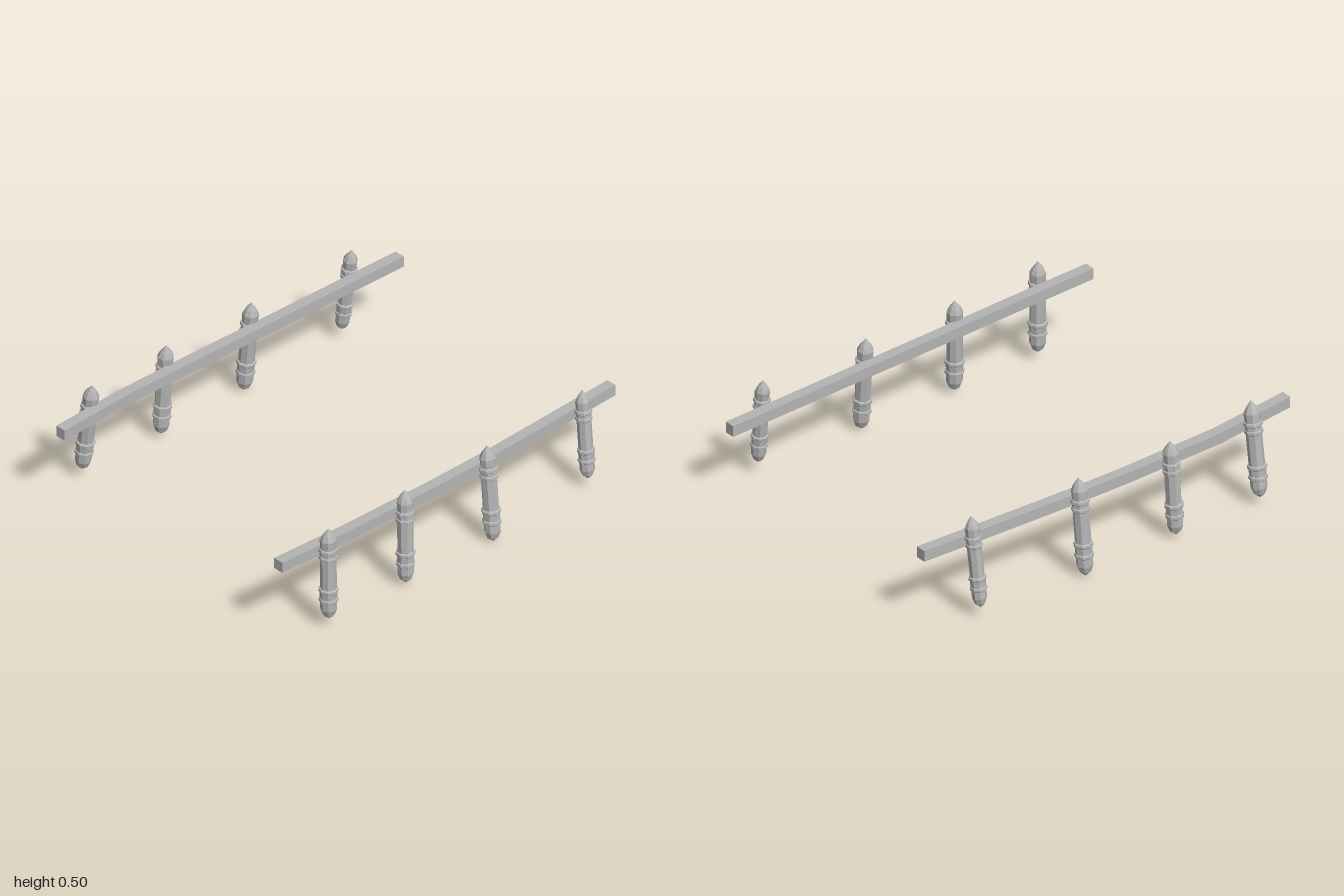
import * as THREE from 'three';

const stone = new THREE.MeshStandardMaterial({ color: 0xb4b4b4, flatShading: true });
stone.name = 'grey stone';

// Post profile: [radius, fraction of the height]
const PROFILE = [
  [0, 0], [0.026, 0.045], [0.037, 0.11], [0.037, 0.19], [0.043, 0.2], [0.043, 0.225], [0.038, 0.235],
  [0.039, 0.3], [0.044, 0.31], [0.044, 0.335], [0.036, 0.345], [0.036, 0.66], [0.042, 0.67],
  [0.042, 0.695], [0.037, 0.705], [0.037, 0.74], [0.043, 0.75], [0.042, 0.775], [0.035, 0.785],
  [0.037, 0.875], [0.026, 0.925], [0, 1],
];

// Leaning, faceted post between its bottom and top points
function makePost(name, bottom, top, girth, turn) {
  const a = new THREE.Vector3(...bottom), b = new THREE.Vector3(...top);
  const axis = b.clone().sub(a), length = axis.length();
  const points = PROFILE.map(([r, t]) => new THREE.Vector2(r * girth, t * length));
  const geometry = new THREE.LatheGeometry(points, 8);
  geometry.rotateY(turn);
  const post = new THREE.Mesh(geometry, stone);
  post.name = name;
  post.position.copy(a);
  post.quaternion.setFromUnitVectors(new THREE.Vector3(0, 1, 0), axis.normalize());
  return post;
}

// Square rail bent through stations [z, centre x, centre y]
function makeRail(name, stations, width = 0.052, height = 0.053) {
  const geometry = new THREE.BoxGeometry(width, height, 1, 1, 1, stations.length - 1);
  const p = geometry.attributes.position;
  for (let i = 0; i < p.count; i++) {
    const k = Math.round((p.getZ(i) + 0.5) * (stations.length - 1));
    const [z, x, y] = stations[k];
    p.setXYZ(i, p.getX(i) + x, p.getY(i) + y, z);
  }
  geometry.computeVertexNormals();
  const rail = new THREE.Mesh(geometry, stone);
  rail.name = name;
  return rail;
}

export function createModel() {
  const model = new THREE.Group();
  model.name = 'fence pair';

  // Each row: bottom y, z; top y, z; girth; bottom and top x for the left and right posts
  const rows = [
    [0.04, 0.768, 0.502, 0.762, 1.0, [0.764, 0.754], [-0.785, -0.727]],
    [0.015, 0.316, 0.48, 0.3, 1.0, [0.768, 0.745], [-0.772, -0.752]],
    [0.0, -0.186, 0.475, -0.192, 1.0, [0.783, 0.738], [-0.783, -0.74]],
    [0.05, -0.757, 0.485, -0.767, 0.9, [0.772, 0.724], [-0.777, -0.722]],
  ];
  rows.forEach(([y0, z0, y1, z1, girth, left, right], i) => {
    model.add(makePost(`leftPost${i + 1}`, [left[0], y0, z0], [left[1], y1, z1], girth, i * 0.3));
    model.add(makePost(`rightPost${i + 1}`, [right[0], y0, z0], [right[1], y1, z1], girth, i * 0.3 + 0.2));
  });

  // Rails run along the inner faces of the posts
  model.add(makeRail('leftRail', [
    [-1, 0.662, 0.354], [-0.6, 0.677, 0.354], [-0.2, 0.692, 0.355],
    [0.1, 0.697, 0.36], [0.6, 0.7, 0.375], [1, 0.694, 0.391],
  ]));
  model.add(makeRail('rightRail', [
    [-1, -0.668, 0.354], [-0.6, -0.682, 0.354], [-0.2, -0.695, 0.355],
    [0.1, -0.703, 0.36], [0.6, -0.704, 0.373], [1, -0.674, 0.391],
  ]));
  return model;
}
